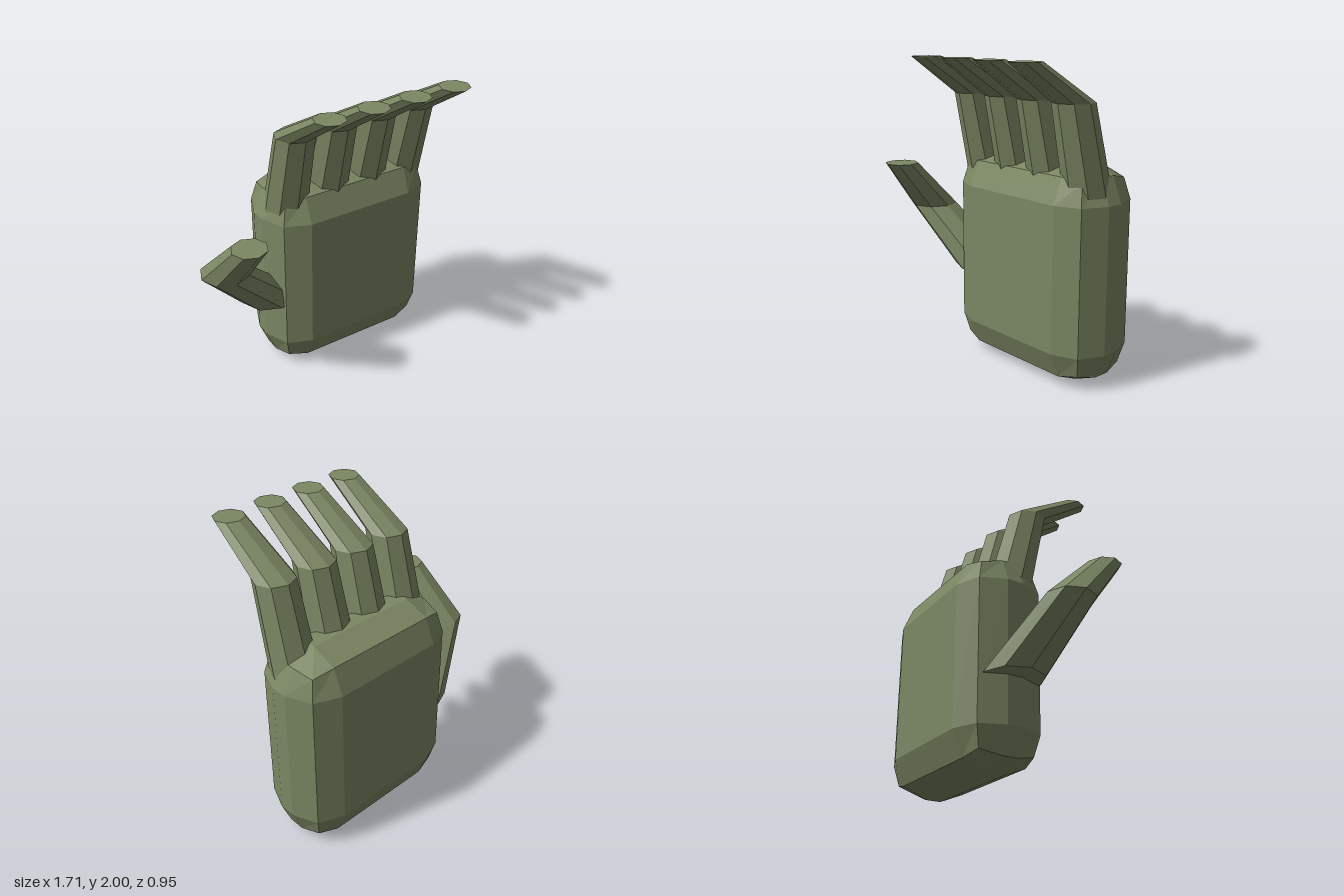
import * as THREE from 'three';

const olive = new THREE.MeshStandardMaterial({ color: 0x7b8763, flatShading: true });
olive.name = 'olive green';

// Box whose edges and corners are rounded in two facets
function bevelledBox(w, h, d, r) {
  const geo = new THREE.BoxGeometry(1, 1, 1, 3, 3, 3);
  const p = geo.attributes.position;
  const v = new THREE.Vector3(), n = new THREE.Vector3();
  const outer = (c) => (Math.abs(c) > 0.4 ? Math.sign(c) : 0);
  for (let i = 0; i < p.count; i++) {
    v.fromBufferAttribute(p, i);
    n.set(outer(v.x), outer(v.y), outer(v.z)).normalize().multiplyScalar(r);
    p.setXYZ(i,
      Math.sign(v.x) * (w / 2 - r) + n.x,
      Math.sign(v.y) * (h / 2 - r) + n.y,
      Math.sign(v.z) * (d / 2 - r) + n.z);
  }
  geo.computeVertexNormals();
  return geo;
}

// Eight-sided digit through three level rings, each [x, y, z, radius], base to tip
function digit(name, rings) {
  const geo = new THREE.CylinderGeometry(1, 1, 2, 8, 2);
  const p = geo.attributes.position;
  for (let i = 0; i < p.count; i++) {
    const [x, y, z, r] = rings[Math.round(p.getY(i)) + 1];
    p.setXYZ(i, x + r * p.getX(i), y, z + r * p.getZ(i));
  }
  geo.computeVertexNormals();
  const mesh = new THREE.Mesh(geo, olive);
  mesh.name = name;
  return mesh;
}

export function createModel() {
  const hand = new THREE.Group();
  hand.name = 'hand';

  const palm = new THREE.Mesh(bevelledBox(1.22, 1.39, 0.565, 0.23), olive);
  palm.name = 'palm';
  palm.position.set(0.245, 0.695, -0.1925);
  hand.add(palm);

  // Four fingers, bent forward at the knuckle
  [-0.195, 0.1, 0.393, 0.687].forEach((x, i) => {
    hand.add(digit('finger' + (i + 1), [
      [x, 1.1, -0.16, 0.15],
      [x, 1.76, 0.002, 0.129],
      [x, 2, 0.38, 0.097],
    ]));
  });

  // Thumb, out to the side and then up and forward
  hand.add(digit('thumb', [
    [-0.32, 0.535, -0.185, 0.2],
    [-0.696, 0.94, -0.03, 0.16],
    [-0.664, 1.265, 0.263, 0.113],
  ]));

  return hand;
}
